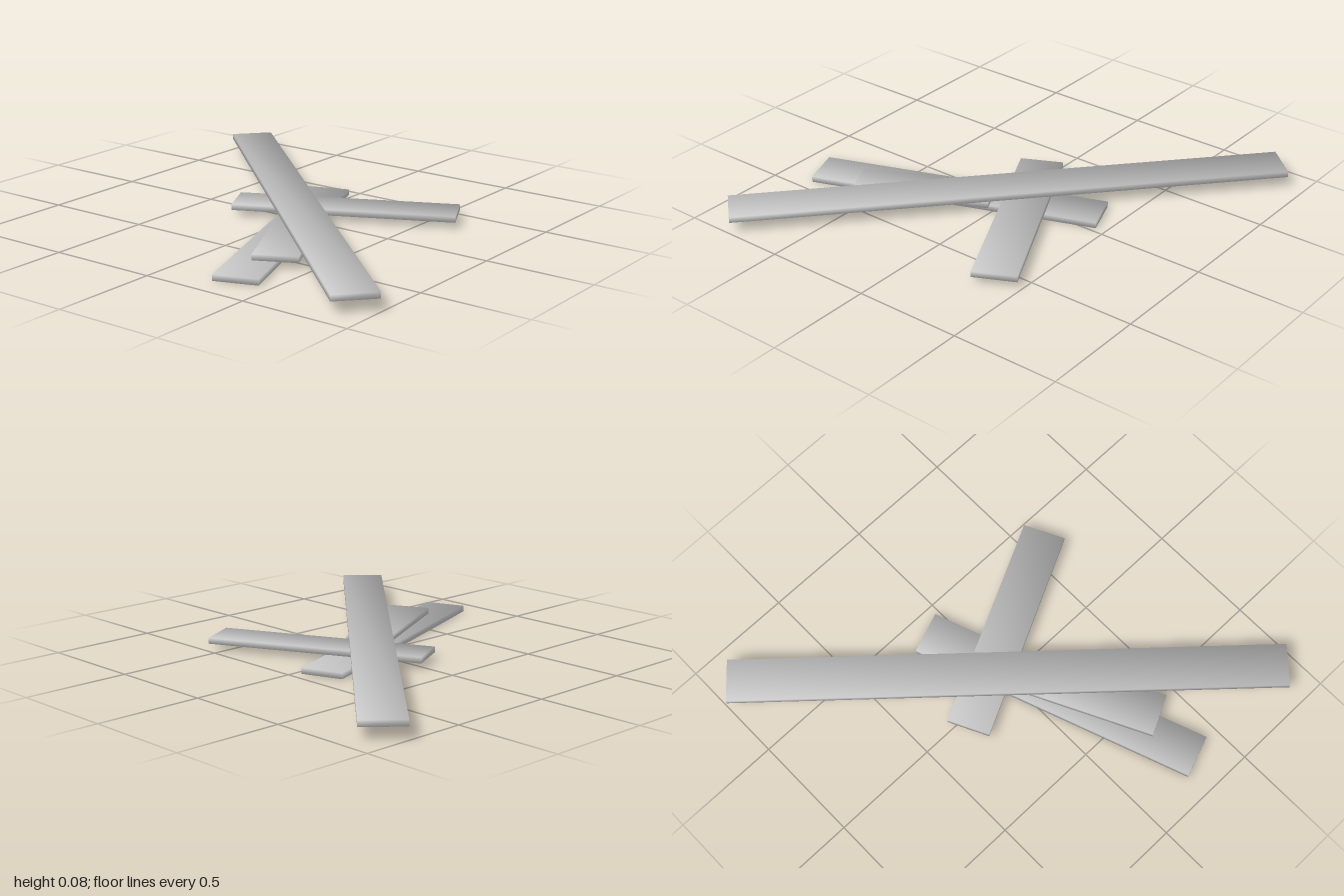
import * as THREE from 'three';
import { mergeVertices } from 'three/addons/utils/BufferGeometryUtils.js';

const THICK = 0.0272;
const WIDTH = 0.198;

// A plank whose eight shared corners carry smooth, averaged normals.
function plankGeometry(length) {
  const box = new THREE.BoxGeometry(length, THICK, WIDTH);
  box.deleteAttribute('normal');
  box.deleteAttribute('uv');
  const geometry = mergeVertices(box);
  const p = geometry.attributes.position;
  const normals = new Float32Array(p.count * 3);
  const n = new THREE.Vector3();
  for (let i = 0; i < p.count; i++) {
    n.fromBufferAttribute(p, i);
    n.set(Math.sign(n.x), Math.sign(n.y), Math.sign(n.z)).normalize().toArray(normals, i * 3);
  }
  geometry.setAttribute('normal', new THREE.BufferAttribute(normals, 3));
  return geometry;
}

export function createModel() {
  const group = new THREE.Group();
  group.name = 'plankPile';
  const material = new THREE.MeshStandardMaterial({ color: 0xcccccc });

  // Middle of each end as [x, z], and the layer it lies on.
  const planks = [
    { name: 'bottomPlank', from: [-0.12, -0.415], to: [0.345, 0.855], layer: 0 },
    { name: 'crossPlank', from: [-0.3, 0.057], to: [0.612, -0.39], layer: 1 },
    { name: 'shortPlank', from: [0.077, 0.047], to: [0.355, 0.608], layer: 1 },
    { name: 'longTopPlank', from: [-0.932, -0.848], to: [0.932, 0.848], layer: 2 },
  ];

  for (const { name, from, to, layer } of planks) {
    const dx = to[0] - from[0];
    const dz = to[1] - from[1];
    const plank = new THREE.Mesh(plankGeometry(Math.hypot(dx, dz)), material);
    plank.name = name;
    plank.position.set((from[0] + to[0]) / 2, (layer + 0.5) * THICK, (from[1] + to[1]) / 2);
    plank.rotation.y = -Math.atan2(dz, dx);
    group.add(plank);
  }
  return group;
}
